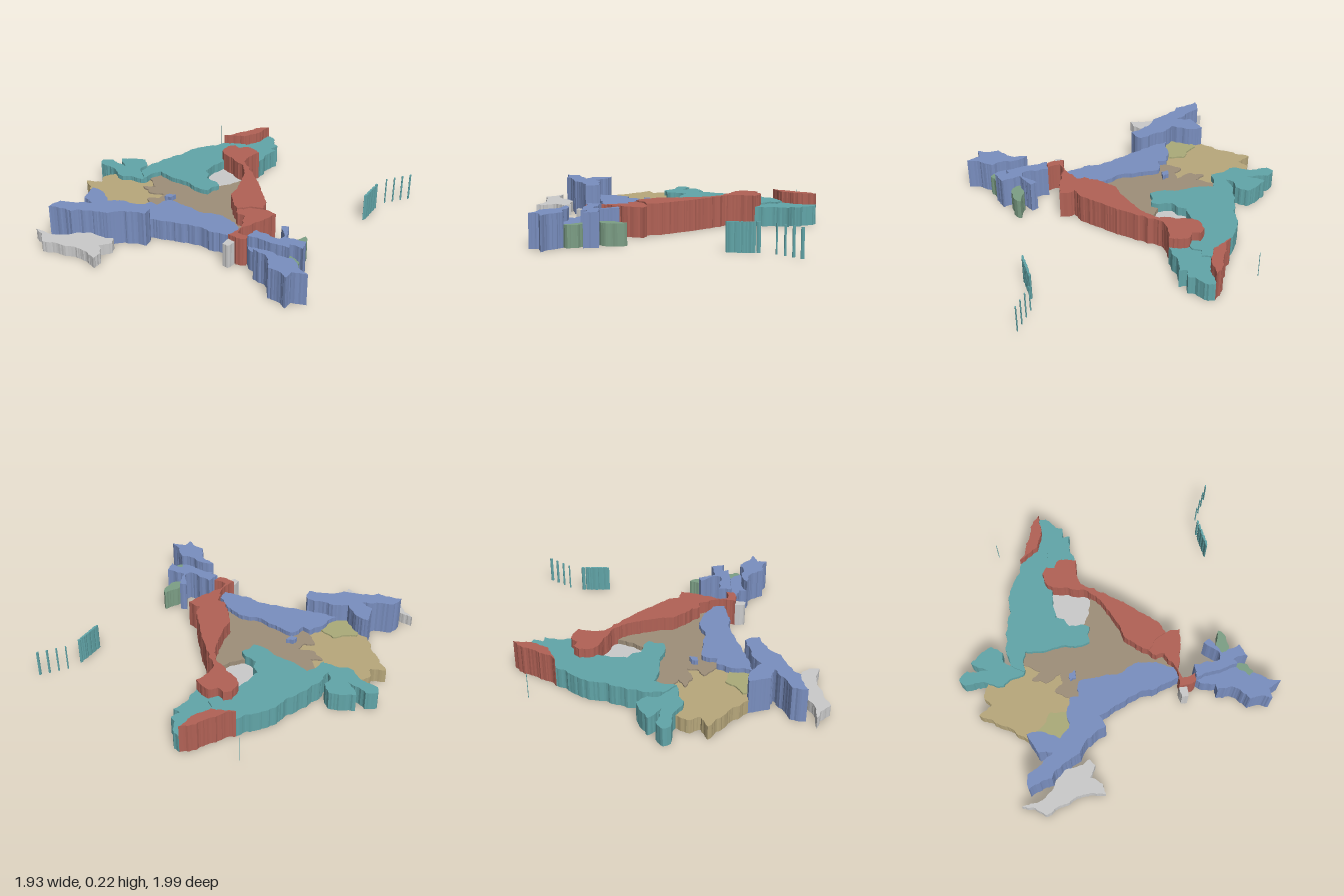
import * as THREE from 'three';

const C = { teal: 0x62a6a9, red: 0xb26256, blue: 0x7a8fc0, tan: 0xb8a87c, brown: 0x9e8f7a,
  olive: 0xabab7a, green: 0x7d9f86, grey: 0xcccccc };

// A border or coast: x,z pairs in hundredths of a unit
const line = (...n) => Array.from({ length: n.length / 2 }, (_, i) => [n[2 * i] / 100, n[2 * i + 1] / 100]);
const rev = (l) => [...l].reverse();

// Chains lines into one closed ring, dropping points repeated where they meet
const ring = (...lines) => lines.flat().filter(([x, z], i, all) => {
  const [px, pz] = all[(i + all.length - 1) % all.length];
  return x !== px || z !== pz;
});

// Repeatable value in -1..1 for a position
const hash = (x, z) => {
  const s = Math.sin(x * 127.1 + z * 311.7) * 43758.5453;
  return (s - Math.floor(s)) * 2 - 1;
};

// Midpoint displacement, the same from either end, so neighbours keep a common border
function ragged(a, b) {
  const [p, q] = a[0] > b[0] || (a[0] === b[0] && a[1] > b[1]) ? [b, a] : [a, b];
  const dx = q[0] - p[0], dz = q[1] - p[1];
  if (Math.hypot(dx, dz) < 0.014) return [a];
  const mx = (p[0] + q[0]) / 2, mz = (p[1] + q[1]) / 2, k = 0.12 * hash(mx, mz);
  const m = [mx - dz * k, mz + dx * k];
  return [...ragged(a, m), ...ragged(m, b)];
}

// Upright shell over a ragged outline: top and walls, open underneath
function slab(name, color, height, corners) {
  const outline = corners.flatMap((p, i) => ragged(p, corners[(i + 1) % corners.length]));
  const shape = new THREE.Shape(outline.map(([x, z]) => new THREE.Vector2(x, -z)));
  const solid = new THREE.ExtrudeGeometry(shape, { depth: height, bevelEnabled: false });
  solid.rotateX(-Math.PI / 2);
  // The first half of the lid faces is the underside
  const geometry = new THREE.BufferGeometry();
  const kept = solid.attributes.position.array.slice(solid.groups[0].count / 2 * 3);
  geometry.setAttribute('position', new THREE.BufferAttribute(kept, 3));
  geometry.computeVertexNormals();
  const mesh = new THREE.Mesh(geometry, new THREE.MeshStandardMaterial({ color, side: THREE.DoubleSide }));
  mesh.name = name;
  return mesh;
}

function addMainland(model) {
  const add = (name, color, height, ...lines) => model.add(slab(name, color, height, ring(...lines)));

  // Coasts
  const northCoast = line(-37, -91, -33, -91, -27, -84, -23, -83, -24, -77, -19, -77, -20, -68, -17, -56);
  const northWestCoast = line(-47, -72, -43, -83, -37, -91);
  const westCoast = line(-67, -5, -66, -15, -62, -35, -57, -50);
  const peninsulaCoast = line(-69, 3, -69, -3, -76, -8, -83, -4, -89, 1, -79, 7, -92, 6, -97, 11, -94, 15);
  const southWestCoast = line(-83, 24, -79, 29, -87, 34, -79, 38, -71, 43, -65, 49, -59, 53);
  const eastCoast = line(-16, -40, -8, -36, 6, -26, 16, -18, 26, -10, 32, -1);
  const southCoast = line(-17, 46, -10, 43, 0, 38, 19, 33, 31, 29, 36, 27);
  const southernCoast = line(-17, 46, -12, 54, -21, 59, -29, 68, -39, 73, -47, 81, -61, 86, -61, 77, -52, 72, -45, 66);

  // Borders shared by two regions
  const northWest = line(-38, -75);
  const northFoot = line(-29, -57, -30, -60, -35, -62, -34, -67, -40, -69);
  const westNotch = line(-40, -69, -46, -65, -52, -61);
  const redWest = line(-29, -57, -31, -53, -36, -54, -39, -50, -38, -44);
  const innerWest = line(-34, -40, -35, -31, -34, -22, -29, -20, -26, -15, -18, -15);
  const innerNorth = line(-34, -40, -22, -37, -11, -33);
  const innerEast = line(-13, -23);
  const centralNorth = line(-18, -15, -14, -13, -15, -3, -28, -2, -55, -2, -57, 6);
  const centralEast = line(-11, -33, -2, -21, 4, -10, 6, -2, 13, 5, 20, 9);
  const neckWest = line(34, 20, 29, 12, 24, 13, 20, 9);
  const centralSouth = line(34, 20, 27, 17, 13, 14, 3, 19, -10, 20, -25, 22, -26, 31, -31, 31);
  const centralWest = line(-57, 6, -47, 11, -53, 16, -45, 19, -35, 14, -35, 21, -40, 25, -31, 31);
  const gulf = line(-57, 12, -65, 6);
  const peninsulaFoot = line(-80, 15, -70, 18, -57, 12);
  const insetEdge = line(-34, 39, -44, 38, -47, 43, -54, 49, -53, 52);
  const insetFoot = line(-40, 58, -35, 53);

  add('northRegion', C.teal, 0.12, northCoast, northFoot, northWest);
  add('northWestRegion', C.red, 0.19, westNotch, northWestCoast, northWest);
  add('largeWestRegion', C.teal, 0.13, rev(westNotch), rev(northFoot), redWest, innerWest, centralNorth, gulf, westCoast);
  add('westPeninsula', C.teal, 0.12, gulf, peninsulaCoast, peninsulaFoot);
  add('northEastRegion', C.red, 0.19, northCoast.slice(-1), eastCoast, rev(centralEast), rev(innerNorth), rev(redWest));
  add('innerRegion', C.grey, 0.07, innerNorth, innerEast, rev(innerWest));
  add('centralRegion', C.brown, 0.10, rev(centralNorth), innerEast, centralEast, rev(neckWest), centralSouth, rev(centralWest));
  add('centralEnclave', C.blue, 0.13, line(-30, 16, -26, 14, -26, 19, -30, 20));
  add('southWestRegion', C.tan, 0.09, centralWest, insetEdge, rev(southWestCoast), peninsulaFoot);
  add('southWestInset', C.olive, 0.10, insetEdge, insetFoot);
  add('southCoastRegion', C.blue, 0.13, centralSouth, line(-34, 39, -35, 53), southCoast);
  add('southRegion', C.blue, 0.22, southernCoast, insetFoot);
  add('southCoastStrip', C.blue, 0.22, line(-45, 66, -53, 65, -59, 53, -53, 52, -40, 58));
  add('southTip', C.grey, 0.07, line(-24, 69, -21, 73, -25, 80, -18, 85, -17, 91, -31, 90, -42, 94, -53, 99,
    -67, 92, -53, 89, -47, 83, -40, 74, -34, 73));
  add('eastNeck', C.red, 0.18, line(32, -1, 41, -2, 40, 8, 38, 13, 37, 20, 36, 24, 38, 29, 46, 27, 46, 31, 41, 34, 35, 34,
    36, 27), neckWest);
  add('neckBlock', C.grey, 0.15, line(35, 34, 40, 34, 40, 40, 36, 40));
}

function addEast(model) {
  const add = (name, color, height, ...lines) => model.add(slab(name, color, height, ring(...lines)));
  const northFoot = line(46, 30, 58, 28, 72, 25);
  const southTop = line(80, 32, 65, 35, 58, 39);
  const spurFoot = line(64, 17, 67, 16);
  add('eastNorthRegion', C.blue, 0.20, line(46, 22, 62, 21, 62, 16, 54, 9, 58, 7), spurFoot,
    line(75, 13, 79, 21, 70, 22), rev(northFoot));
  add('eastMiddleRegion', C.blue, 0.13, northFoot, southTop, line(58, 34));
  add('eastSouthRegion', C.blue, 0.20, southTop, line(66, 39, 76, 48, 82, 47, 89, 49, 88, 43, 96, 39, 86, 35));
  add('eastNorthSpur', C.green, 0.13, spurFoot, line(70, 11, 67, 1, 65, 0, 62, 11));
  add('eastInset', C.green, 0.13, line(72, 25, 70, 22, 79, 24, 82, 29, 80, 32));
}

// Island chain: long islands in the south, islets trailing to the north
function addIslands(model) {
  const islands = new THREE.Group();
  islands.name = 'islands';
  const island = (x, z, w, l) => islands.add(slab('island', C.teal, 0.17,
    Array.from({ length: 8 }, (_, i) => [x + w * Math.cos(i * Math.PI / 4), z + l * Math.sin(i * Math.PI / 4)])));
  for (let i = 0; i < 5; i++) island(0.64 + 0.007 * i, -0.74 + 0.038 * i, 0.007, i ? 0.024 : 0.012);
  for (let i = 0; i < 4; i++) island(0.65 + 0.027 * i, -0.84 - 0.05 * i, 0.004, 0.005 + 0.0016 * i);
  island(-0.66, -0.74, 0.002, 0.002);
  model.add(islands);
}

export function createModel() {
  const model = new THREE.Group();
  model.name = 'raisedRegionMap';
  addMainland(model);
  addEast(model);
  addIslands(model);
  return model;
}
